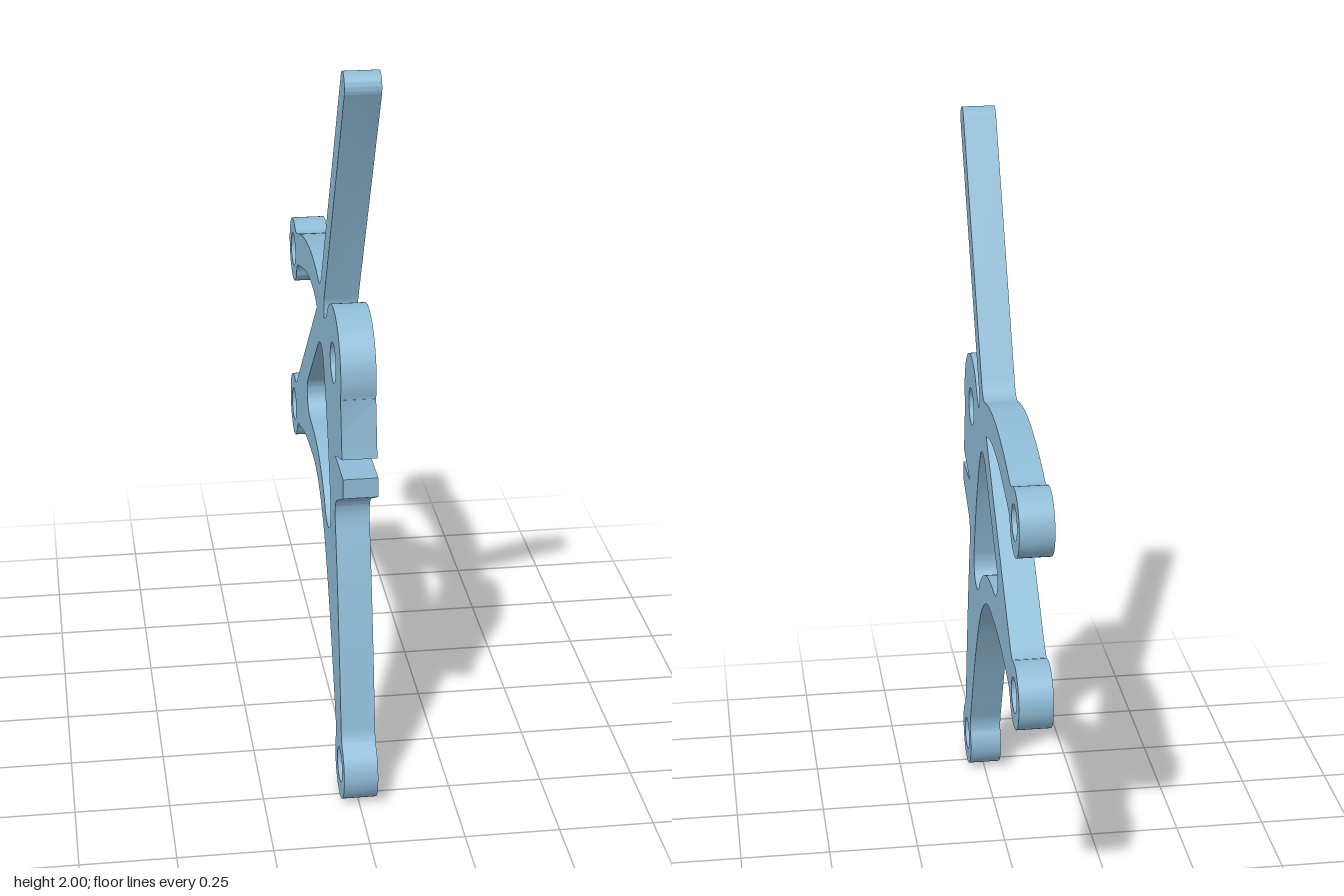
import * as THREE from 'three';
import { toCreasedNormals } from 'three/addons/utils/BufferGeometryUtils.js';

const THICKNESS = 0.09;
const EYE_RADIUS = 0.09;
const UPPER_EYE = [0.497, 1.19];
const LOWER_EYE = [0.497, 0.71];
const FOOT_EYE = [-0.5, 0.09];
const BOSS = [-0.36, 1.188];

const rad = THREE.MathUtils.degToRad;
const points = (list) => list.map(([u, y]) => new THREE.Vector2(u, y));

// Clockwise arc around a centre, angles in degrees
function arc(path, [u, y], radius, from, to) {
  path.absarc(u, y, radius, rad(from), rad(to), true);
}

function roundHole([u, y], radius) {
  const hole = new THREE.Path();
  hole.absarc(u, y, radius, 0, Math.PI * 2, false);
  return hole;
}

// Side profile, drawn clockwise: u runs towards the back, y up
function plateProfile() {
  const s = new THREE.Shape();

  // Long straight lever with a rounded tip
  s.moveTo(-0.183, 1.294);
  arc(s, [-0.53, 1.965], 0.035, 210, 30);
  s.lineTo(-0.137, 1.354);
  s.bezierCurveTo(-0.12, 1.32, -0.1, 1.295, -0.065, 1.305);

  // Curved upper arm ending in an eye
  s.bezierCurveTo(0.08, 1.345, 0.25, 1.325, 0.415, 1.265);
  s.quadraticCurveTo(0.435, 1.26, 0.455, 1.27);
  arc(s, UPPER_EYE, EYE_RADIUS, 118, -144);
  s.quadraticCurveTo(0.417, 1.17, 0.39, 1.18);
  s.bezierCurveTo(0.2, 1.24, 0.08, 1.26, -0.037, 1.217);

  // Diagonal strut down to the lower eye
  s.lineTo(0.425, 0.814);
  s.quadraticCurveTo(0.445, 0.797, 0.463, 0.794);
  arc(s, LOWER_EYE, EYE_RADIUS, 112, -137);
  s.quadraticCurveTo(0.415, 0.685, 0.385, 0.694);

  // Sweeping inner edge of the leg
  s.splineThru(points([
    [0.24, 0.727], [0.103, 0.739], [-0.035, 0.726],
    [-0.167, 0.636], [-0.29, 0.45], [-0.415, 0.187],
  ]));
  s.quadraticCurveTo(-0.427, 0.16, -0.423, 0.136);
  arc(s, FOOT_EYE, EYE_RADIUS, 31, -238);

  // Outer edge of the leg
  s.quadraticCurveTo(-0.529, 0.185, -0.525, 0.217);
  s.quadraticCurveTo(-0.473, 0.53, -0.406, 0.765);
  s.quadraticCurveTo(-0.4, 0.815, -0.43, 0.833);

  // Pointed tab and V notch
  for (const [u, y] of [
    [-0.553, 0.895], [-0.553, 0.948], [-0.406, 0.948],
    [-0.533, 0.993], [-0.504, 1.144],
  ]) s.lineTo(u, y);

  // Round boss, blending back into the lever
  arc(s, BOSS, 0.15, 197, 45);
  s.bezierCurveTo(-0.235, 1.27, -0.215, 1.25, -0.185, 1.242);
  s.quadraticCurveTo(-0.175, 1.27, -0.183, 1.294);
  return s;
}

// Rounded triangular window between the leg and the strut
function windowHole() {
  const h = new THREE.Path();
  h.moveTo(-0.06, 1.12);
  h.bezierCurveTo(-0.09, 1.147, -0.14, 1.155, -0.168, 1.11);
  h.bezierCurveTo(-0.23, 1.01, -0.275, 0.9, -0.31, 0.768);
  h.bezierCurveTo(-0.325, 0.72, -0.3, 0.68, -0.26, 0.678);
  h.bezierCurveTo(-0.21, 0.678, -0.21, 0.705, -0.185, 0.725);
  h.bezierCurveTo(-0.1, 0.8, -0.02, 0.827, 0.12, 0.826);
  h.bezierCurveTo(0.18, 0.83, 0.2, 0.89, 0.165, 0.925);
  h.lineTo(-0.06, 1.12);
  return h;
}

export function createModel() {
  const profile = plateProfile();
  profile.holes.push(
    windowHole(),
    roundHole(BOSS, 0.053),
    ...[UPPER_EYE, LOWER_EYE, FOOT_EYE].map((eye) => roundHole(eye, 0.047)),
  );

  // Extrude the profile and turn it so the plate lies across x
  const extruded = new THREE.ExtrudeGeometry(profile, {
    depth: THICKNESS, bevelEnabled: false, curveSegments: 20,
  });
  extruded.translate(0, 0, -THICKNESS / 2);
  extruded.rotateY(Math.PI / 2);

  const plate = new THREE.Mesh(
    toCreasedNormals(extruded, 0.5),
    new THREE.MeshStandardMaterial({ color: 0x8fbbd6 }),
  );
  plate.name = 'leverPlate';

  const group = new THREE.Group();
  group.name = 'leverBracket';
  group.add(plate);
  return group;
}
